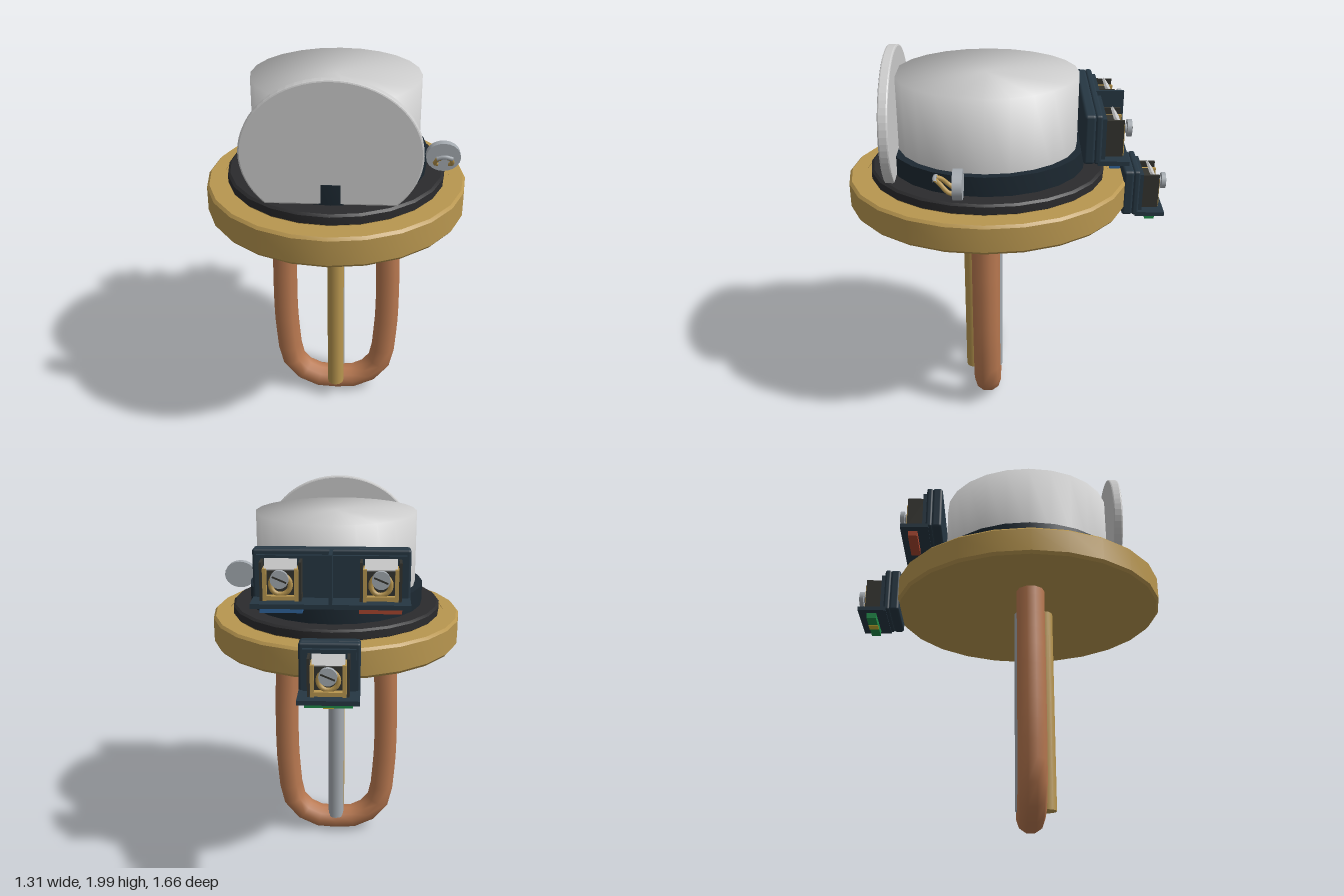
import * as THREE from 'three';
import { toCreasedNormals } from 'three/addons/utils/BufferGeometryUtils.js';
import { RoundedBoxGeometry } from 'three/addons/geometries/RoundedBoxGeometry.js';

const mat = (color) => new THREE.MeshStandardMaterial({ color });
const BRASS = mat(0xb8964f), COPPER = mat(0xb87850), STEEL = mat(0xa4aab0), SHELL = mat(0xd9dad6);
const RUBBER = mat(0x2b2b2d), NAVY = mat(0x1c2831), HOUSING = mat(0x263743), DARK = mat(0x34342f);
const STRETCH = 1.1; // round parts are slightly longer in z
const CZ = 0.1;

function add(parent, name, geometry, material, x = 0, y = 0, z = 0) {
  const mesh = new THREE.Mesh(geometry, material);
  mesh.name = name;
  mesh.position.set(x, y, z);
  parent.add(mesh);
  return mesh;
}

function box(parent, name, material, w, h, d, x, y, z) {
  return add(parent, name, new THREE.BoxGeometry(w, h, d), material, x, y, z);
}

// Oval turned part from a [radius, height] profile, bottom to top
function turned(parent, name, material, profile, smooth = false) {
  let g = new THREE.LatheGeometry(profile.map(([r, y]) => new THREE.Vector2(r, y)), 24);
  g.scale(1, 1, STRETCH);
  if (!smooth) g = toCreasedNormals(g, 0.6);
  return add(parent, name, g, material, 0, 0, CZ);
}

function tube(parent, name, material, points, radius, segments, sides) {
  const curve = new THREE.CatmullRomCurve3(points.map((p) => new THREE.Vector3(...p)));
  return add(parent, name, new THREE.TubeGeometry(curve, segments, radius, sides), material);
}

// Screw terminal facing -z; its origin is the bottom centre of its front edge
function terminal(x, y, z) {
  const t = new THREE.Group();
  t.name = 'terminal';
  t.position.set(x, y, z);
  box(t, 'terminalBody', DARK, 0.15, 0.15, 0.07, 0, 0.075, 0.055);
  for (const s of [-1, 1]) {
    box(t, 'terminalCheek', DARK, 0.012, 0.18, 0.1, s * 0.09, 0.09, 0.05);
    box(t, 'clampSide', BRASS, 0.018, 0.15, 0.1, s * 0.073, 0.075, 0.045);
  }
  box(t, 'clampBase', BRASS, 0.13, 0.02, 0.09, 0, 0.015, 0.035);
  const ring = add(t, 'clampRing', new THREE.TorusGeometry(0.046, 0.012, 8, 20), BRASS, 0, 0.075, 0.012);
  ring.scale.z = 0.8;
  const plate = box(t, 'labelPlate', SHELL, 0.15, 0.055, 0.012, 0, 0.165, 0.03);
  plate.rotation.x = 0.6;
  // screw: slotted head, shank and thread
  const head = add(t, 'screwHead', new THREE.CylinderGeometry(0.042, 0.042, 0.022, 20), STEEL, 0, 0.11, -0.035);
  head.rotation.x = Math.PI / 2;
  const slot = box(t, 'screwSlot', DARK, 0.07, 0.008, 0.003, 0, 0.11, -0.047);
  slot.rotation.z = 0.4;
  const shank = add(t, 'screwShank', new THREE.CylinderGeometry(0.018, 0.018, 0.1, 12), STEEL, 0, 0.11, 0.02);
  shank.rotation.x = Math.PI / 2;
  for (let i = 0; i < 4; i++) {
    add(t, 'screwThread', new THREE.TorusGeometry(0.02, 0.005, 6, 14), STEEL, 0, 0.11, -0.016 + i * 0.016);
  }
  return t;
}

// Terminal housing whose back plate starts at z and whose bottom is at y
function housing(name, width, y, z, terminalXs) {
  const h = new THREE.Group();
  h.name = name;
  h.position.set(0, y, z);
  add(h, 'backPlate', new RoundedBoxGeometry(width, 0.245, 0.055, 2, 0.015), HOUSING, 0, 0.1275, -0.0275);
  add(h, 'frontPlate', new RoundedBoxGeometry(width, 0.245, 0.034, 2, 0.012), HOUSING, 0, 0.1275, -0.068);
  box(h, 'recessPanel', HOUSING, width - 0.04, 0.2, 0.03, 0, 0.125, -0.09);
  box(h, 'shelf', HOUSING, width, 0.022, 0.15, 0, 0.011, -0.145);
  for (const x of terminalXs) h.add(terminal(x, 0.03, -0.19));
  return h;
}

export function createModel() {
  const model = new THREE.Group();
  model.name = 'heatingElement';

  // Flange and gasket
  turned(model, 'flange', BRASS, [[0, 1.205], [0.645, 1.205], [0.657, 1.22], [0.657, 1.342], [0.645, 1.355], [0, 1.355]]);
  turned(model, 'flangeRim', BRASS, [[0.545, 1.35], [0.545, 1.362], [0.57, 1.362], [0.575, 1.35]]);
  turned(model, 'gasket', RUBBER, [[0, 1.35], [0.535, 1.35], [0.55, 1.362], [0.55, 1.4], [0.538, 1.41], [0, 1.41]]);
  turned(model, 'collar', NAVY, [[0, 1.4], [0.457, 1.4], [0.457, 1.51], [0, 1.51]]);

  // Thermostat drum with softly shaded top
  turned(model, 'thermostatDrum', SHELL, [[0.418, 1.45], [0.418, 1.88], [0, 1.88]], true);

  // Oval dial, cut flat along the bottom
  const dial = new THREE.Shape();
  const cut = Math.asin(0.24 / 0.35);
  dial.absellipse(0, 1.65, 0.418, 0.35, -cut, Math.PI + cut, false, 0);
  dial.closePath();
  add(model, 'dial', new THREE.ExtrudeGeometry(dial, {
    depth: 0.034, bevelEnabled: true, bevelThickness: 0.008, bevelSize: 0.008,
    bevelOffset: -0.008, bevelSegments: 2, curveSegments: 24,
  }), SHELL, 0, 0, 0.554);

  // U-shaped heating tube
  const half = [[0.265, 1.25], [0.272, 1.0], [0.28, 0.75], [0.273, 0.4], [0.235, 0.18], [0.125, 0.09]];
  const path = [
    ...half.map(([x, y]) => [-x, y, 0]),
    [0, 0.075, 0],
    ...half.slice().reverse().map(([x, y]) => [x, y, 0]),
  ];
  const heater = tube(model, 'heatingTube', COPPER, path, 0.066, 28, 10);
  heater.scale.z = STRETCH;
  heater.position.z = 0.107;

  // Sensor rods
  for (const [name, material, z] of [['brassRod', BRASS, 0.188], ['steelRod', STEEL, 0.075]]) {
    const rod = add(model, name, new THREE.CylinderGeometry(0.044, 0.044, 1.12, 12), material, 0, 0.665, z);
    rod.scale.z = STRETCH;
  }

  // Side knob with bent wire clip
  const knob = add(model, 'sideKnob', new THREE.CylinderGeometry(0.085, 0.085, 0.046, 20), STEEL, 0.53, 1.51, 0.22);
  knob.rotation.x = Math.PI / 2;
  knob.scale.z = 0.84;
  for (const s of [-1, 1]) {
    tube(model, 'clipProng', BRASS, [
      [0.53 + s * 0.03, 1.472, 0.235], [0.53 + s * 0.042, 1.49, 0.265], [0.53 + s * 0.03, 1.525, 0.3], [0.53 + s * 0.015, 1.538, 0.322],
    ], 0.011, 10, 6);
  }
  tube(model, 'clipBridge', STEEL, [[0.492, 1.535, 0.322], [0.53, 1.545, 0.326], [0.568, 1.535, 0.322]], 0.01, 6, 6);

  // Double terminal housing behind the drum
  const upper = housing('upperTerminalHousing', 0.74, 1.535, -0.365, [-0.23, 0.23]);
  box(upper, 'partition', HOUSING, 0.016, 0.245, 0.14, 0, 0.128, -0.15);
  box(upper, 'blueMarker', mat(0x2f6299), 0.2, 0.032, 0.05, 0.23, -0.014, -0.155);
  box(upper, 'redMarker', mat(0xa8452e), 0.2, 0.032, 0.05, -0.23, -0.014, -0.155);
  model.add(upper);

  // Single earth terminal housing on the flange edge
  const lower = housing('earthTerminalHousing', 0.285, 1.155, -0.595, [0]);
  box(lower, 'greenMarker', mat(0x1f8a48), 0.22, 0.032, 0.05, 0, -0.014, -0.15);
  box(lower, 'yellowMarker', mat(0xc8b432), 0.05, 0.004, 0.052, 0, -0.031, -0.15);
  model.add(lower);

  return model;
}
